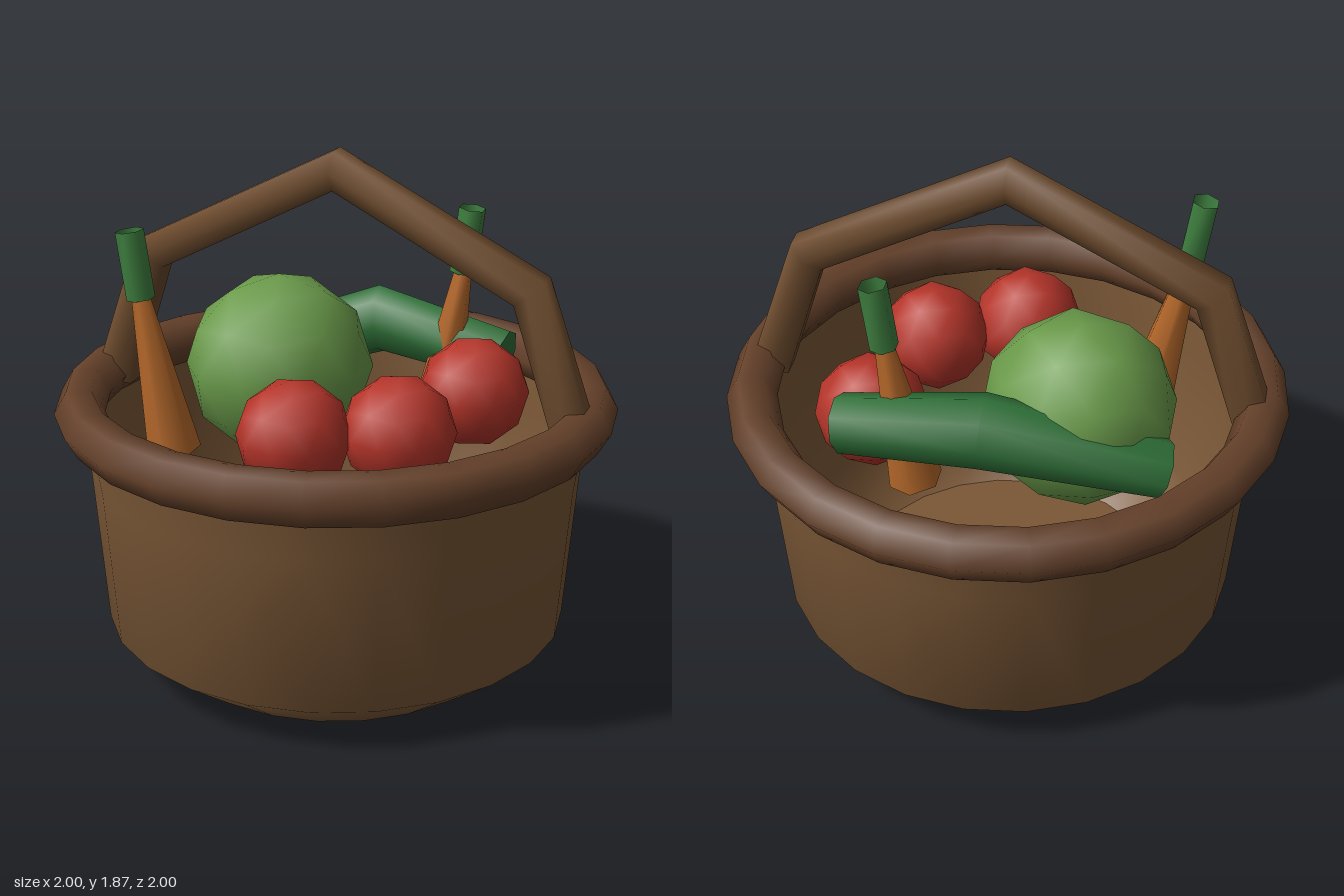
import * as THREE from 'three';

const V = (x, y, z) => new THREE.Vector3(x, y, z);

// Sweeps a polygon of given radii along a polyline, with optional end caps.
function sweep(points, radii, sides, up, capped) {
  const pos = [], idx = [];
  const last = points.length - 1;
  const addRing = (i) => {
    const t = V(0, 0, 0);
    if (i > 0) t.add(points[i].clone().sub(points[i - 1]).normalize());
    if (i < last) t.add(points[i + 1].clone().sub(points[i]).normalize());
    t.normalize();
    const u = up.clone().addScaledVector(t, -up.dot(t)).normalize();
    const w = t.clone().cross(u);
    const start = pos.length / 3;
    for (let j = 0; j < sides; j++) {
      const a = (j / sides) * Math.PI * 2;
      const p = points[i].clone()
        .addScaledVector(u, Math.cos(a) * radii[i])
        .addScaledVector(w, Math.sin(a) * radii[i]);
      pos.push(p.x, p.y, p.z);
    }
    return start;
  };
  points.forEach((_, i) => addRing(i));
  for (let i = 0; i < last; i++) {
    for (let j = 0; j < sides; j++) {
      const k = (j + 1) % sides;
      const a = i * sides + j, b = i * sides + k;
      idx.push(a, b, b + sides, a, b + sides, a + sides);
    }
  }
  if (capped) {
    for (const end of [0, last]) {
      const s = addRing(end);
      for (let j = 1; j < sides - 1; j++) {
        if (end) idx.push(s, s + j, s + j + 1);
        else idx.push(s, s + j + 1, s + j);
      }
    }
  }
  const geo = new THREE.BufferGeometry();
  geo.setAttribute('position', new THREE.Float32BufferAttribute(pos, 3));
  geo.setIndex(idx);
  geo.computeVertexNormals();
  return geo;
}

// Low-poly ball with a vertex at its top.
function ball(radius) {
  const geo = new THREE.IcosahedronGeometry(radius, 1);
  geo.rotateZ(-Math.atan(2 / (1 + Math.sqrt(5))));
  return geo;
}

export function createModel() {
  const model = new THREE.Group();
  model.name = 'vegetableBasket';

  const add = (name, geo, color, parent = model, doubleSided = false) => {
    const mat = new THREE.MeshStandardMaterial({ color });
    if (doubleSided) mat.side = THREE.DoubleSide;
    const mesh = new THREE.Mesh(geo, mat);
    mesh.name = name;
    parent.add(mesh);
    return mesh;
  };

  // Basket wall and floor
  const profile = [[0.615, 0], [0.835, 0.16], [0.878, 0.73], [0.91, 0.96]]
    .map(([r, y]) => new THREE.Vector2(r, y));
  add('basketWall', new THREE.LatheGeometry(profile, 24), 0x7a5736, model, true);
  const floor = new THREE.CircleGeometry(0.615, 24);
  floor.rotateX(-Math.PI / 2);
  add('basketFloor', floor, 0x7a5736, model, true);

  // Thick rim
  const rim = new THREE.TorusGeometry(0.91, 0.09, 6, 24);
  rim.rotateX(Math.PI / 2);
  add('rim', rim, 0x65412a).position.y = 0.96;

  // Angular handle
  const handlePath = [V(-0.87, 0.95, 0), V(-0.705, 1.437, 0), V(0, 1.797, 0),
    V(0.705, 1.437, 0), V(0.87, 0.95, 0)];
  add('handle', sweep(handlePath, [0.08, 0.08, 0.08, 0.08, 0.08], 6, V(0, 0, 1), true), 0x6e4c2e);

  // Cabbage
  add('cabbage', ball(0.345), 0x6a9a4a).position.set(-0.28, 1.01, -0.15);

  // Tomatoes
  for (const [x, z] of [[0, 0.4], [0.32, 0.24], [0.44, -0.24]]) {
    add('tomato', ball(0.2), 0xb5352a).position.set(x, 0.965, z);
  }

  // Bent cucumber
  const cucumberPath = [V(-0.6, 0.93, -0.33), V(0, 1.12, -0.48), V(0.5, 1.04, -0.43)];
  add('cucumber', sweep(cucumberPath, [0.105, 0.13, 0.105], 8, V(0, 1, 0), true), 0x2f7038);

  // Upside-down carrots with hollow green stalks
  const carrots = [
    { z: 0.32, x: [-0.49, -0.6, -0.635] },
    { z: -0.4, x: [0.25, 0.34, 0.37] },
  ];
  for (const { z, x } of carrots) {
    const carrot = new THREE.Group();
    carrot.name = 'carrot';
    const base = V(x[0], 0.81, z), neck = V(x[1], 1.36, z), top = V(x[2], 1.6, z);
    add('carrotRoot', sweep([base, neck], [0.095, 0.033], 6, V(0, 0, 1), true), 0xb5682a, carrot);
    add('carrotStalk', sweep([neck, top], [0.05, 0.05], 6, V(0, 0, 1), false), 0x3f8040, carrot, true);
    model.add(carrot);
  }

  return model;
}
